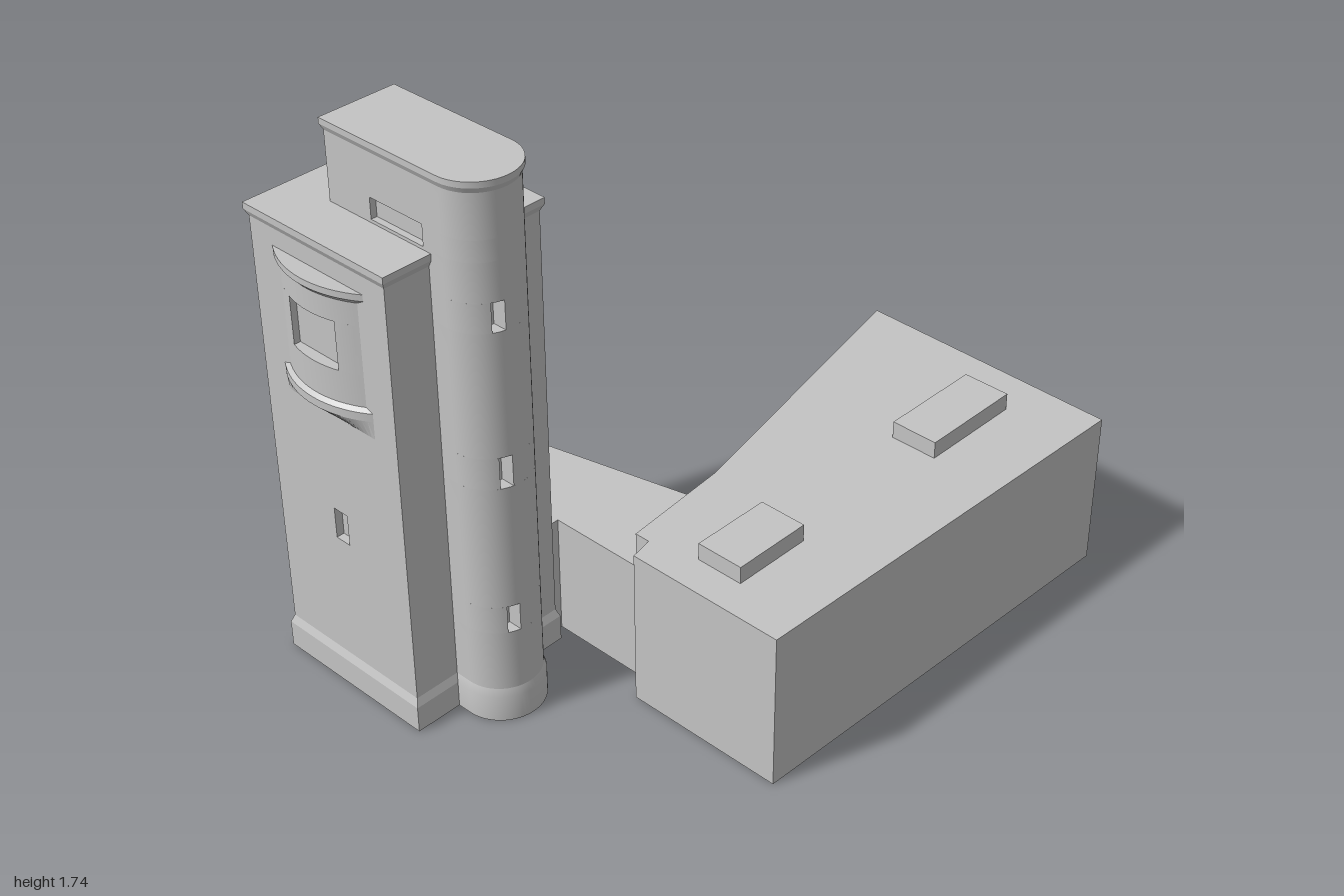
import * as THREE from 'three';
import { toCreasedNormals } from 'three/addons/utils/BufferGeometryUtils.js';

const concrete = new THREE.MeshStandardMaterial({ color: 0xc4c4c4 });
concrete.name = 'concrete';

// Closed solid through plan outlines ([x, z] points), rows = [[outline, y], ...] from bottom to top.
function loft(name, rows) {
  const clockwise = THREE.ShapeUtils.isClockWise(rows[rows.length - 1][0].map(p => new THREE.Vector2(...p)));
  const rings = rows.map(([pts, y]) => {
    const ring = pts.map(([x, z]) => [x, y, z]);
    return clockwise ? ring.reverse() : ring;
  });
  const pos = [];
  const tri = (a, b, c) => pos.push(...a, ...b, ...c);
  for (let r = 0; r < rings.length - 1; r++) {
    const low = rings[r], high = rings[r + 1], n = low.length;
    for (let i = 0; i < n; i++) {
      const j = (i + 1) % n;
      tri(low[i], high[i], high[j]);
      tri(low[i], high[j], low[j]);
    }
  }
  const cap = (ring, up) => {
    const faces = THREE.ShapeUtils.triangulateShape(ring.map(p => new THREE.Vector2(p[0], p[2])), []);
    for (const [a, b, c] of faces) up ? tri(ring[a], ring[c], ring[b]) : tri(ring[a], ring[b], ring[c]);
  };
  cap(rings[0], false);
  cap(rings[rings.length - 1], true);
  const geometry = new THREE.BufferGeometry();
  geometry.setAttribute('position', new THREE.Float32BufferAttribute(pos, 3));
  const mesh = new THREE.Mesh(toCreasedNormals(geometry, 0.35), concrete);
  mesh.name = name;
  return mesh;
}

const slab = (name, outline, y0, y1) => loft(name, [[outline, y0], [outline, y1]]);

function arc(cx, cz, r, a0, a1, n) {
  return Array.from({ length: n + 1 }, (_, i) => {
    const a = a0 + (a1 - a0) * i / n;
    return [cx + r * Math.cos(a), cz + r * Math.sin(a)];
  });
}

// Square tower plan; notched has a window recess in the two sides and the back.
const HALF = 0.268;
function square(grow) {
  const h = HALF + grow;
  return [[-h, -h], [h, -h], [h, h], [-h, h]];
}
function notchedSquare() {
  const h = HALF, w = 0.027, d = h - 0.025;
  return [
    [-h, -h], [-w, -h], [-w, -d], [w, -d], [w, -h], [h, -h],
    [h, -w], [d, -w], [d, w], [h, w], [h, h],
    [-h, h], [-h, w], [-d, w], [-d, -w], [-h, -w],
  ];
}

// Round-fronted stair tower plan, optionally with a front slit or side recesses.
function stairPlan(grow, notch) {
  const h = 0.12 + grow, back = -0.545 - grow, cz = -0.107;
  const sideNotch = s => [[s * h, -0.38], [s * (h - 0.02), -0.38], [s * (h - 0.02), -0.18], [s * h, -0.18]];
  const front = notch === 'slit'
    ? [...arc(0, cz, h, 0, Math.acos(-0.025 / h), 16), [-0.025, -0.035], [-0.06, -0.035],
      ...arc(0, cz, h, Math.acos(-0.06 / h), Math.PI, 12)]
    : arc(0, cz, h, 0, Math.PI, 32);
  const sides = notch === 'side';
  return [[-h, back], [h, back], ...(sides ? sideNotch(1) : []), ...front,
    ...(sides ? sideNotch(-1).reverse() : [])];
}

// Segment-shaped bay plan facing +x.
function bayPlan(r, windowed) {
  const a = Math.acos(HALF / r), b = Math.asin(0.09 / r), s = r * Math.sin(a);
  const face = windowed
    ? [...arc(0, 0, r, -a, -b, 8), [0.276, -0.09], [0.276, 0.09], ...arc(0, 0, r, b, a, 8)]
    : arc(0, 0, r, -a, a, 24);
  return [[0.255, -s], ...face, [0.255, s]];
}

function makeBay() {
  const bay = new THREE.Group();
  bay.name = 'bay';
  const lip = bayPlan(0.323), wall = bayPlan(0.31);
  const flat = lip.map(([x, z]) => [Math.min(x, HALF + 0.0005), z]);
  bay.add(
    loft('bayCorbel', [[flat, 0.95], [lip, 1.005]]),
    loft('baySill', [[lip, 1.005], [lip, 1.03], [wall, 1.04]]),
    slab('bayLowerWall', wall, 1.04, 1.14),
    slab('bayWindow', bayPlan(0.31, true), 1.14, 1.29),
    slab('bayUpperWall', wall, 1.29, 1.36),
    loft('bayCornice', [[wall, 1.36], [lip, 1.375], [lip, 1.395]]),
  );
  return bay;
}

export function createModel() {
  const model = new THREE.Group();
  model.name = 'building';

  // Square tower in bands, window recesses between them
  const tower = new THREE.Group();
  tower.name = 'squareTower';
  tower.position.set(-0.677, 0, -0.43);
  const wall = square(0), wide = square(0.01);
  tower.add(
    loft('towerLowerWall', [[wide, 0], [wide, 0.085], [wall, 0.11], [wall, 0.52]]),
    slab('towerWindows', notchedSquare(), 0.52, 0.62),
    loft('towerUpperWall', [[wall, 0.62], [wall, 1.45], [wide, 1.47], [wide, 1.49]]),
  );
  for (let i = 0; i < 3; i++) {
    const bay = makeBay();
    bay.rotation.y = i * Math.PI / 2;
    tower.add(bay);
  }
  model.add(tower);

  // Stair tower with three front slits and a pair of high side windows
  const stair = new THREE.Group();
  stair.name = 'stairTower';
  stair.position.x = -0.675;
  const plan = stairPlan(0), flare = stairPlan(0.008);
  stair.add(loft('stairBase', [[flare, 0], [flare, 0.085], [plan, 0.11]]));
  let y = 0.11;
  for (const [y0, y1, notch] of [[0.31, 0.4, 'slit'], [0.8, 0.9, 'slit'], [1.29, 1.38, 'slit'], [1.5, 1.565, 'side']]) {
    stair.add(slab('stairWall', plan, y, y0), slab('stairWindow', stairPlan(0, notch), y0, y1));
    y = y1;
  }
  stair.add(loft('stairCornice', [[plan, y], [plan, 1.7], [flare, 1.717], [flare, 1.735]]));
  model.add(stair);

  // Low wings
  model.add(
    slab('connectingWing', [[-0.5, -0.67], [-0.165, -0.67], [0.005, 0.09], [-0.36, 0.125], [-0.36, -0.19], [-0.5, -0.19]], 0, 0.395),
    slab('mainHall', [[-0.435, 0.19], [-0.36, 0.175], [-0.36, 0.125], [0.005, 0.09], [1, -0.13], [0.985, 0.747], [-0.435, 0.713]], 0, 0.51),
  );

  // Roof lights
  for (const [x, z, w] of [[-0.195, 0.408, 0.26], [0.662, 0.428, 0.345]]) {
    const light = new THREE.Mesh(new THREE.BoxGeometry(w, 0.055, 0.155), concrete);
    light.name = 'roofLight';
    light.position.set(x, 0.5375, z);
    model.add(light);
  }
  return model;
}
